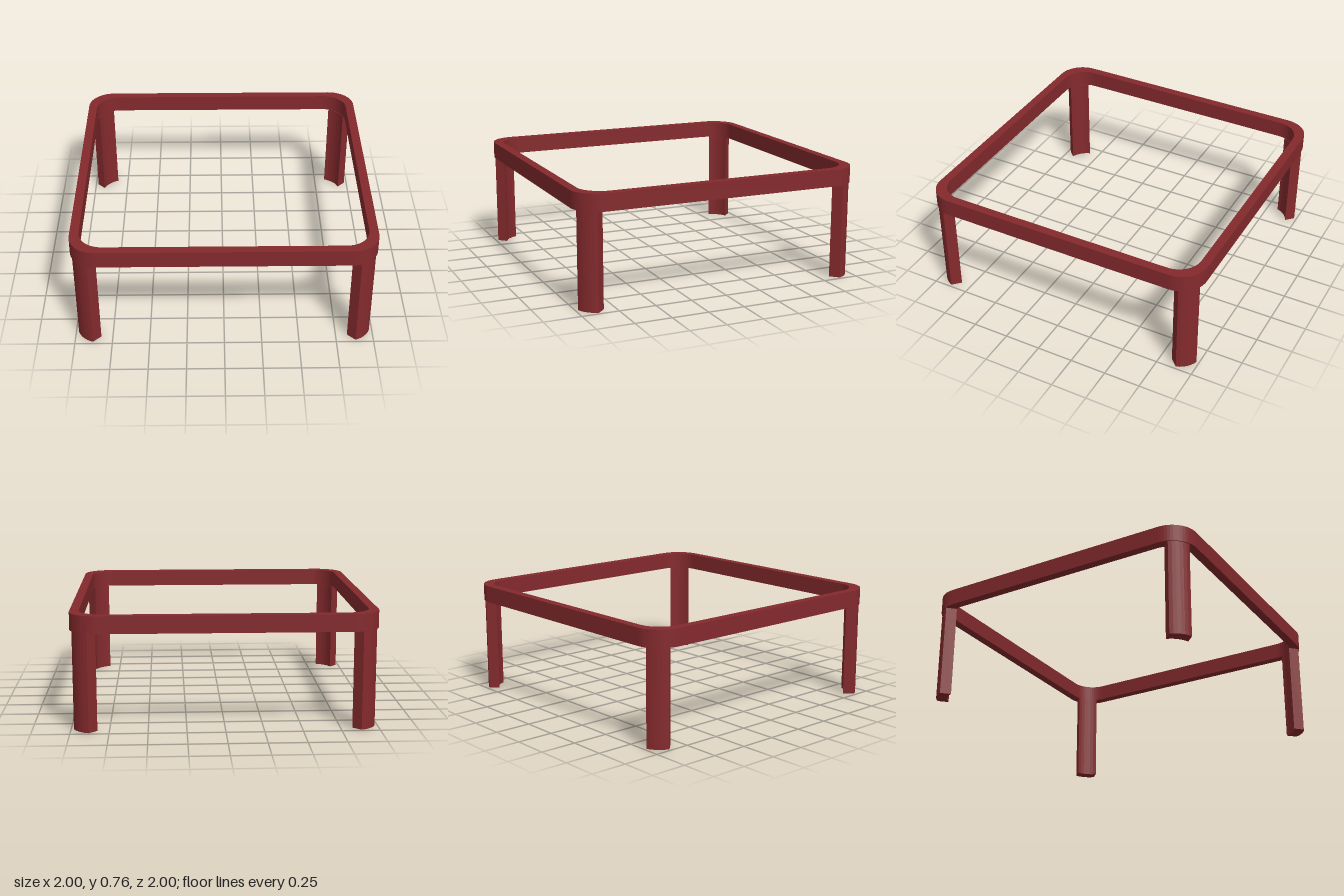
import * as THREE from 'three';

const material = new THREE.MeshStandardMaterial({ color: 0x842a2d, flatShading: true });

// Square outline with rounded corners
function roundedSquare(target, half, r) {
  const c = half - r;
  for (let i = 0; i < 4; i++) {
    const a = i * Math.PI / 2;
    const m = a + Math.PI / 4;
    target.absarc(Math.sign(Math.cos(m)) * c, Math.sign(Math.sin(m)) * c, r, a, a + Math.PI / 2, false);
  }
  target.closePath();
  return target;
}

// Extrudes a plan outline upwards from y0 to y1
function extrudeUp(shape, y0, y1, curveSegments) {
  const g = new THREE.ExtrudeGeometry(shape, { depth: y1 - y0, bevelEnabled: false, curveSegments });
  g.rotateX(-Math.PI / 2);
  g.translate(0, y0, 0);
  return g;
}

// Curved leg section: a corner arc swept inwards along the diagonal
function legShape() {
  const c = 0.83, r = 0.16, depth = 0.053, a0 = 0.32, steps = 6;
  const outer = [];
  for (let i = 0; i <= steps; i++) {
    const a = a0 + (Math.PI / 2 - 2 * a0) * i / steps;
    outer.push(new THREE.Vector2(c + r * Math.cos(a), c + r * Math.sin(a)));
  }
  const inner = outer.map(p => new THREE.Vector2(p.x - depth, p.y - depth)).reverse();
  return new THREE.Shape([...outer, ...inner]);
}

export function createModel() {
  const model = new THREE.Group();
  model.name = 'tableBase';

  // Rounded square top frame
  const ring = roundedSquare(new THREE.Shape(), 1, 0.18);
  ring.holes.push(roundedSquare(new THREE.Path(), 0.94, 0.16));
  const frame = new THREE.Mesh(extrudeUp(ring, 0.65, 0.765, 7), material);
  frame.name = 'topFrame';
  model.add(frame);

  // One leg under each corner
  const legGeometry = extrudeUp(legShape(), 0, 0.65, 1);
  ['backLeftLeg', 'backRightLeg', 'frontRightLeg', 'frontLeftLeg'].forEach((name, i) => {
    const leg = new THREE.Mesh(legGeometry, material);
    leg.name = name;
    leg.rotation.y = i * Math.PI / 2;
    model.add(leg);
  });
  return model;
}
